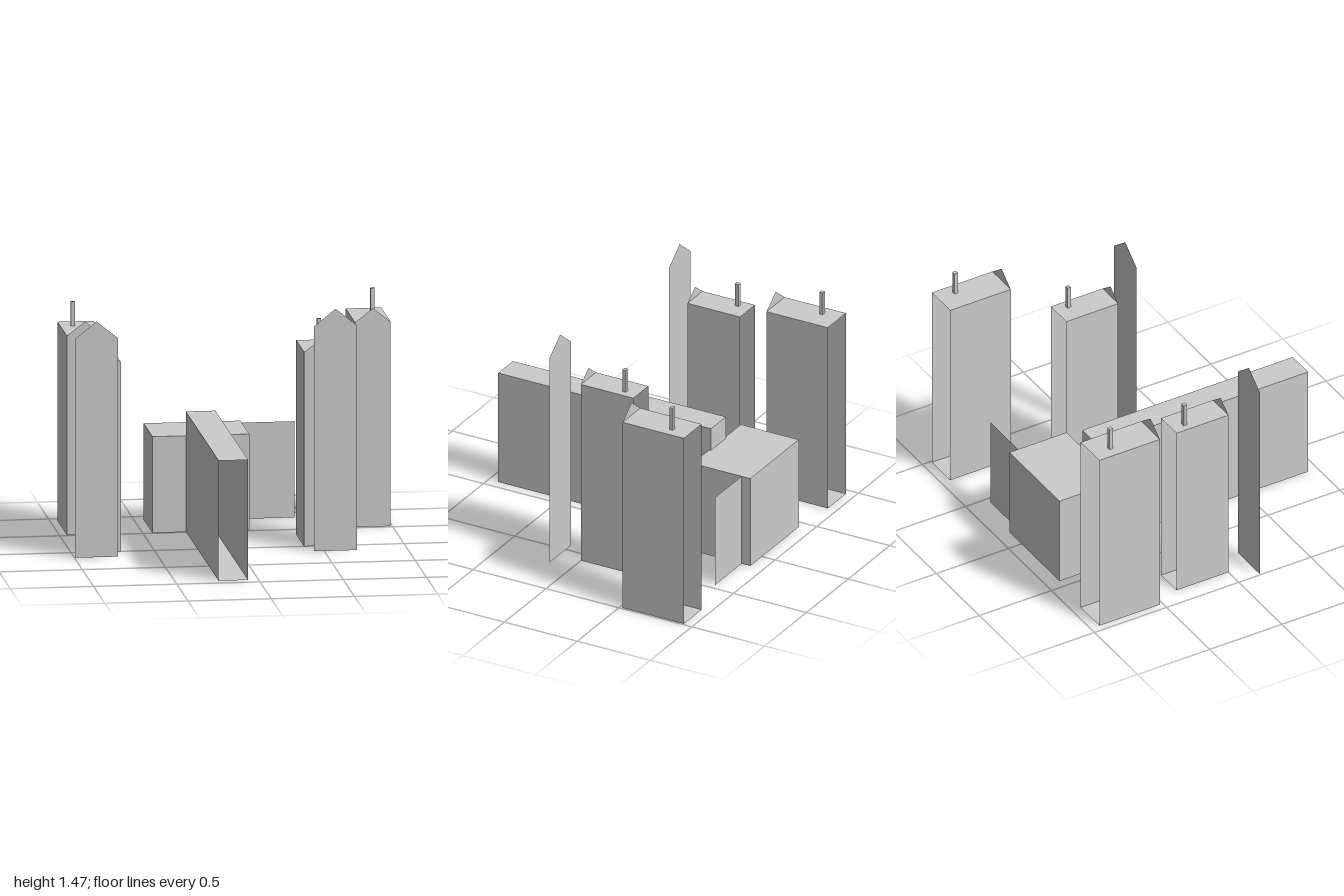
import * as THREE from 'three';

const material = new THREE.MeshStandardMaterial({ color: 0xcccccc, flatShading: true, side: THREE.DoubleSide });

// Index of each side in a BoxGeometry
const FRONT = 4, BACK = 5;

function addMesh(parent, name, geometry, x = 0, y = 0, z = 0) {
  const mesh = new THREE.Mesh(geometry, material);
  mesh.name = name;
  mesh.position.set(x, y, z);
  parent.add(mesh);
  return mesh;
}

// Box given by its limits, standing at height y0, with some sides left out
function addBox(parent, name, [x0, x1], [y0, y1], [z0, z1], openSides = []) {
  const geometry = new THREE.BoxGeometry(x1 - x0, y1 - y0, z1 - z0);
  const index = Array.from(geometry.index.array);
  geometry.setIndex(index.filter((_, i) => !openSides.includes(Math.floor(i / 6))));
  geometry.clearGroups();
  return addMesh(parent, name, geometry, (x0 + x1) / 2, (y0 + y1) / 2, (z0 + z1) / 2);
}

// Flat upright facade, pointed when peak is above the eaves
function addFacade(parent, name, [x0, x1], eaves, peak, z) {
  const points = [[x0, 0], [x1, 0], [x1, eaves]];
  if (peak > eaves) points.push([(x0 + x1) / 2, peak]);
  points.push([x0, eaves]);
  const shape = new THREE.Shape(points.map(([x, y]) => new THREE.Vector2(x, y)));
  return addMesh(parent, name, new THREE.ShapeGeometry(shape), 0, 0, z);
}

// Tall house: flat roof, open back, gabled facade and a chimney
function addHouse(parent, { name, x, z, height, gable, chimney }) {
  const house = new THREE.Group();
  house.name = name;
  parent.add(house);
  addBox(house, 'houseWalls', x, [0, height], z, [FRONT, BACK]);
  addFacade(house, 'gableFacade', x, height, height + gable, z[1]);
  const [cx, cz] = chimney, r = 0.012;
  addBox(house, 'chimney', [cx - r, cx + r], [height, height + 0.147], [cz - r, cz + r]);
}

export function createModel() {
  const model = new THREE.Group();
  model.name = 'houseGroup';

  // Four houses, two in front and two behind
  const frontZ = [-0.36, 0], rearZ = [-0.94, -0.52];
  [
    { name: 'frontRightHouse', x: [-0.88, -0.70], z: frontZ, height: 1.15, gable: 0.07, chimney: [-0.825, -0.272] },
    { name: 'frontLeftHouse', x: [0.40, 0.58], z: frontZ, height: 1.18, gable: 0.07, chimney: [0.525, -0.272] },
    { name: 'rearRightHouse', x: [-0.955, -0.738], z: rearZ, height: 1.21, gable: 0.085, chimney: [-0.88, -0.82] },
    { name: 'rearLeftHouse', x: [0.777, 0.99], z: rearZ, height: 1.243, gable: 0.085, chimney: [0.92, -0.82] },
  ].forEach((h) => addHouse(model, h));

  // Free-standing pointed facades before the front houses
  addFacade(model, 'rightFreeFacade', [-0.997, -0.738], 1.328, 1.433, 0.15);
  addFacade(model, 'leftFreeFacade', [0.439, 0.698], 1.366, 1.47, 0.15);

  // Long narrow hall, open at its front end
  addBox(model, 'longHall', [-0.24, -0.062], [0, 0.73], [-0.525, 0.935], [FRONT]);

  // Wide low block across the end of the hall, with a flat panel at its side
  addBox(model, 'rearBlock', [-0.442, 0.14], [0, 0.585], [-0.91, -0.513]);
  addFacade(model, 'sidePanel', [0.14, 0.458], 0.585, 0.585, -0.85);

  return model;
}
